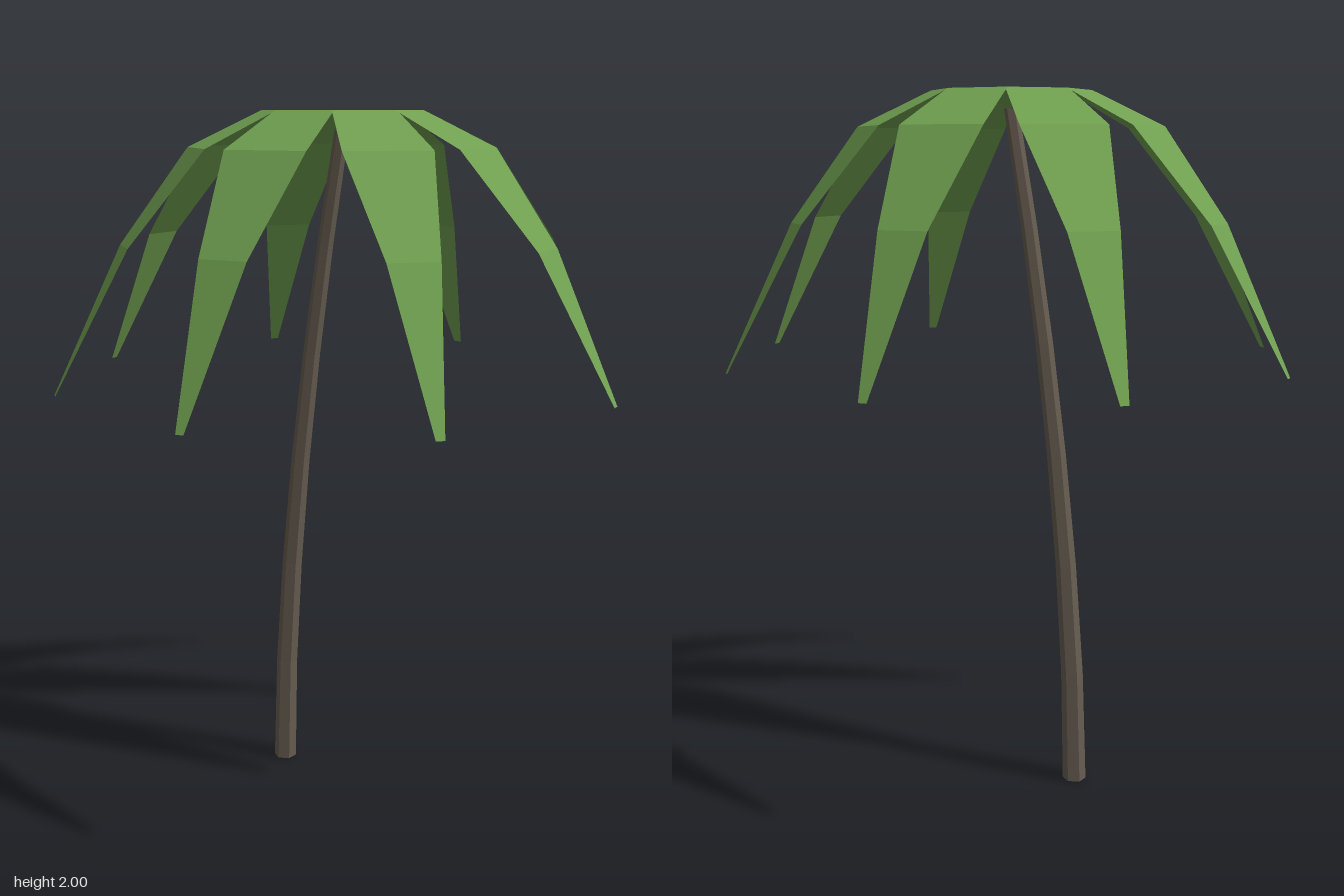
import * as THREE from 'three';

const TWIST = THREE.MathUtils.degToRad(8.8);
const FRONDS = 8;

// Flat drooping blade: [distance from centre, height, half width] per section
function frondGeometry() {
  const sections = [
    [0.208, 2.0, 0.09],
    [0.413, 1.9, 0.123],
    [0.617, 1.64, 0.071],
    [0.82, 1.24, 0.012],
  ];
  const positions = [];
  const index = [];
  sections.forEach(([r, y, w], i) => {
    positions.push(r, y, -w, r, y, w);
    if (i === 0) return;
    const a = 2 * (i - 1);
    index.push(a, a + 1, a + 3, a, a + 3, a + 2);
  });
  const geometry = new THREE.BufferGeometry();
  geometry.setAttribute('position', new THREE.Float32BufferAttribute(positions, 3));
  geometry.setIndex(index);
  geometry.computeVertexNormals();
  return geometry;
}

// Six-sided tapered trunk, bent towards the crown
function trunkGeometry() {
  const height = 1.95;
  const geometry = new THREE.CylinderGeometry(0.021, 0.034, height, 6, 6);
  geometry.translate(0, height / 2, 0);
  const p = geometry.attributes.position;
  for (let i = 0; i < p.count; i++) {
    const t = Math.max(0, p.getY(i) / height);
    p.setX(i, p.getX(i) - 0.228 * (1 - Math.pow(t, 1.7)));
  }
  geometry.computeVertexNormals();
  return geometry;
}

export function createModel() {
  const leafGreen = new THREE.MeshStandardMaterial({ color: 0x70a050, flatShading: true, side: THREE.DoubleSide });
  leafGreen.name = 'leafGreen';
  const barkBrown = new THREE.MeshStandardMaterial({ color: 0x665c50, flatShading: true });
  barkBrown.name = 'barkBrown';

  const model = new THREE.Group();
  model.name = 'palmTree';

  const trunk = new THREE.Mesh(trunkGeometry(), barkBrown);
  trunk.name = 'trunk';
  model.add(trunk);

  // Shallow dish joining the fronds, sunken in the middle
  const depth = 0.045;
  const dish = new THREE.ConeGeometry(0.226, depth, FRONDS, 1, true);
  dish.rotateX(Math.PI);
  dish.rotateY(TWIST + Math.PI / FRONDS);
  dish.translate(0, 2 - depth / 2, 0);
  const crown = new THREE.Mesh(dish, leafGreen);
  crown.name = 'crownCentre';
  model.add(crown);

  // Ring of fronds
  const fronds = new THREE.Group();
  fronds.name = 'fronds';
  const blade = frondGeometry();
  for (let i = 0; i < FRONDS; i++) {
    const frond = new THREE.Mesh(blade, leafGreen);
    frond.name = 'frond' + (i + 1);
    frond.rotation.y = TWIST + (i * 2 * Math.PI) / FRONDS;
    fronds.add(frond);
  }
  model.add(fronds);

  return model;
}
